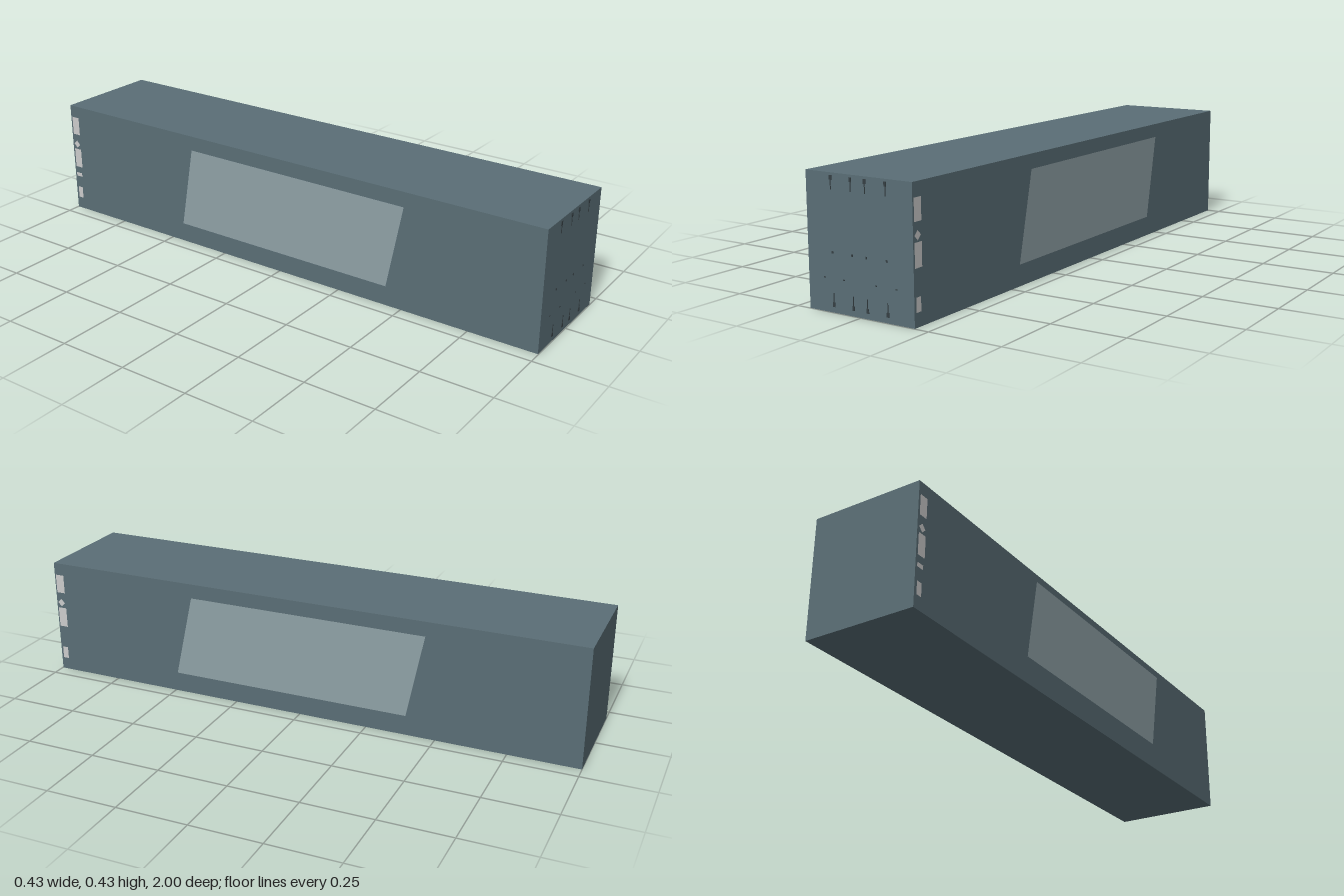
import * as THREE from 'three';

const W = 0.4, H = 0.425, L = 2;
const paint = (color) => new THREE.MeshStandardMaterial({ color, side: THREE.DoubleSide });
const bodyPaint = paint(0x5a6e76);
const panelPaint = paint(0x8fa1a6);
const labelPaint = paint(0xbdbdbd);
const steelPaint = paint(0x353f43);

function add(parent, name, geometry, material, x = 0, y = 0, z = 0) {
  const mesh = new THREE.Mesh(geometry, material);
  mesh.name = name;
  mesh.position.set(x, y, z);
  parent.add(mesh);
  return mesh;
}

// Flat polygon given as [z, y] corners, facing along the side it lies on
function sidePlate(parent, name, corners, side, x, material) {
  const shape = new THREE.Shape(corners.map(([z, y]) => new THREE.Vector2(-side * z, y)));
  const mesh = add(parent, name, new THREE.ShapeGeometry(shape), material, side * x);
  mesh.rotation.y = side * Math.PI / 2;
}

const rect = (z0, z1, y0, y1) => [[z0, y0], [z1, y0], [z1, y1], [z0, y1]];

export function createModel() {
  const model = new THREE.Group();
  model.name = 'shippingContainer';

  add(model, 'body', new THREE.BoxGeometry(W, H, L - 0.002), bodyPaint, 0, H / 2, -0.001);

  // Slanted panels standing just off the long sides
  sidePlate(model, 'leftSidePanel',
    [[0.48, 0.08], [-0.40, 0.08], [-0.46, 0.38], [0.41, 0.38]], 1, 0.217, panelPaint);
  sidePlate(model, 'rightSidePanel',
    [[-0.43, 0.08], [0.45, 0.08], [0.51, 0.38], [-0.375, 0.38]], -1, 0.217, panelPaint);

  // Small marking plates beside one corner post on each side
  for (const side of [1, -1]) {
    const marks = new THREE.Group();
    marks.name = side > 0 ? 'leftMarkings' : 'rightMarkings';
    model.add(marks);
    const plate = (corners) => sidePlate(marks, 'markingPlate',
      corners.map(([z, y]) => [side * z, y]), side, W / 2 + 0.001, labelPaint);
    plate(rect(0.96, 0.993, 0.31, 0.38));
    plate([[0.963, 0.27], [0.978, 0.255], [0.993, 0.27], [0.978, 0.285]]);
    plate(rect(0.96, 0.993, 0.175, 0.25));
    if (side < 0) plate(rect(0.965, 0.993, 0.135, 0.15));
    plate(rect(0.968, 0.99, 0.045, 0.09));
  }

  // Door fittings that barely break the surface of the front
  const fittings = new THREE.Group();
  fittings.name = 'doorFittings';
  model.add(fittings);
  const fitting = (name, w, h, x, y) =>
    add(fittings, name, new THREE.BoxGeometry(w, h, 0.004), steelPaint, x, y, 0.998);
  for (const side of [1, -1]) {
    for (const x of [0.027, 0.103]) {
      for (const y of [0.04, 0.395]) {
        const end = y < 0.2 ? -1 : 1;
        fitting('lockCam', 0.009, 0.014, side * x, y + end * 0.015);
        fitting('lockRodTip', 0.002, 0.03, side * x, y - end * 0.006);
      }
      fitting('rodGuide', 0.005, 0.007, side * x, 0.185);
    }
    for (const x of [0.061, 0.136]) fitting('handleCatch', 0.006, 0.003, side * x, 0.106);
  }

  return model;
}
